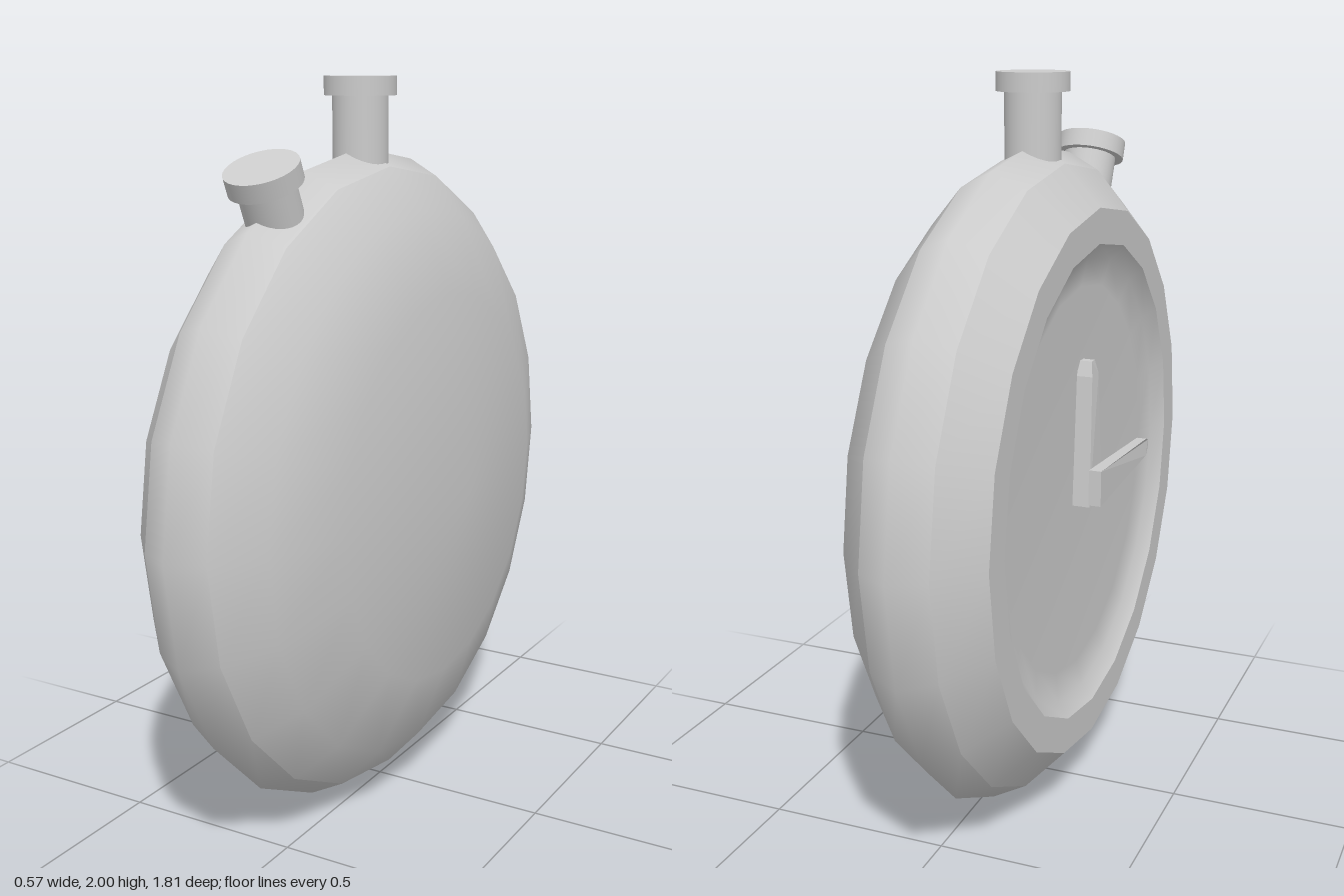
import * as THREE from 'three';

const CY = 0.907; // height of the case centre
const AXIS_X = -0.06; // plane of the widest case ring, where the buttons sit
const mat = new THREE.MeshStandardMaterial({ color: 0xcccccc });

function mesh(name, geometry) {
  const m = new THREE.Mesh(geometry, mat);
  m.name = name;
  return m;
}

// Ring turned round the x axis; points are [radius, x], listed from low to high x on the outside
function turned(name, points) {
  const g = new THREE.LatheGeometry(points.map(([r, x]) => new THREE.Vector2(r, x)), 20);
  // at the pole the normal runs along the axis
  const { position, normal } = g.attributes;
  for (let i = 0; i < position.count; i++) {
    if (Math.hypot(position.getX(i), position.getZ(i)) < 1e-6) {
      normal.setXYZ(i, 0, Math.sign(normal.getY(i)), 0);
    }
  }
  g.rotateZ(-Math.PI / 2);
  g.translate(0, CY, 0);
  return mesh(name, g);
}

// Push button: stem with a wider cap, its origin at the centre of the cap top
function button(name, y, z, tilt, stemLength) {
  const group = new THREE.Group();
  group.name = name;
  const capH = 0.05;
  const cap = mesh(name + 'Cap', new THREE.CylinderGeometry(0.097, 0.097, capH, 32));
  cap.position.y = -capH / 2;
  const stem = mesh(name + 'Stem', new THREE.CylinderGeometry(0.075, 0.075, stemLength, 32));
  stem.position.y = -capH - stemLength / 2;
  group.add(cap, stem);
  group.position.set(AXIS_X, y, z);
  group.rotation.x = tilt;
  return group;
}

// Tapered hand with a narrowed tip, pointing up at angle 0 and to +z at a quarter turn
function hand(name, length, xOuter, depth, angle) {
  const s = new THREE.Shape([
    [-0.05, -0.06], [0.05, -0.06], [0.026, length - 0.04], [0.012, length],
    [-0.012, length], [-0.026, length - 0.04],
  ].map(([x, y]) => new THREE.Vector2(x, y)));
  const g = new THREE.ExtrudeGeometry(s, { depth, bevelEnabled: false });
  // slope the outer face towards the tip and pinch the very end
  const p = g.attributes.position;
  for (let i = 0; i < p.count; i++) {
    const y = p.getY(i);
    const pinch = y > length - 0.02 ? 0.006 : 0;
    if (p.getZ(i) > 0.01) p.setZ(i, depth - 0.007 * Math.max(0, y) / length - pinch);
    else p.setZ(i, pinch);
  }
  g.computeVertexNormals();
  g.rotateY(-Math.PI / 2); // outer face to -x
  g.rotateX(angle);
  g.translate(xOuter + depth, CY, 0);
  return mesh(name, g);
}

export function createModel() {
  const model = new THREE.Group();
  model.name = 'stopwatch';

  // Case: domed back, edge band, front bevel, flat rim and shallow dished dial
  model.add(
    turned('backDome', [[0.86, 0.03], [0.75, 0.128], [0.535, 0.209], [0, 0.281]]),
    turned('edgeBand', [[0.86, -0.15], [0.907, AXIS_X], [0.86, 0.03]]),
    turned('frontBevel', [[0.75, -0.25], [0.86, -0.15]]),
    turned('rim', [[0.655, -0.25], [0.75, -0.25]]),
    turned('dial', [[0, -0.2], [0.54, -0.2], [0.615, -0.217], [0.655, -0.25]]),
  );

  // Hands, stacked one over the other and resting on the dial
  model.add(
    hand('shortHand', 0.34, -0.25, 0.052, 0),
    hand('longHand', 0.41, -0.285, 0.035, Math.PI / 2),
  );

  // Crown on top and the angled side button
  model.add(
    button('crown', 2, 0, 0, 0.2),
    button('sideButton', 1.79, 0.473, 0.41, 0.14),
  );
  return model;
}
